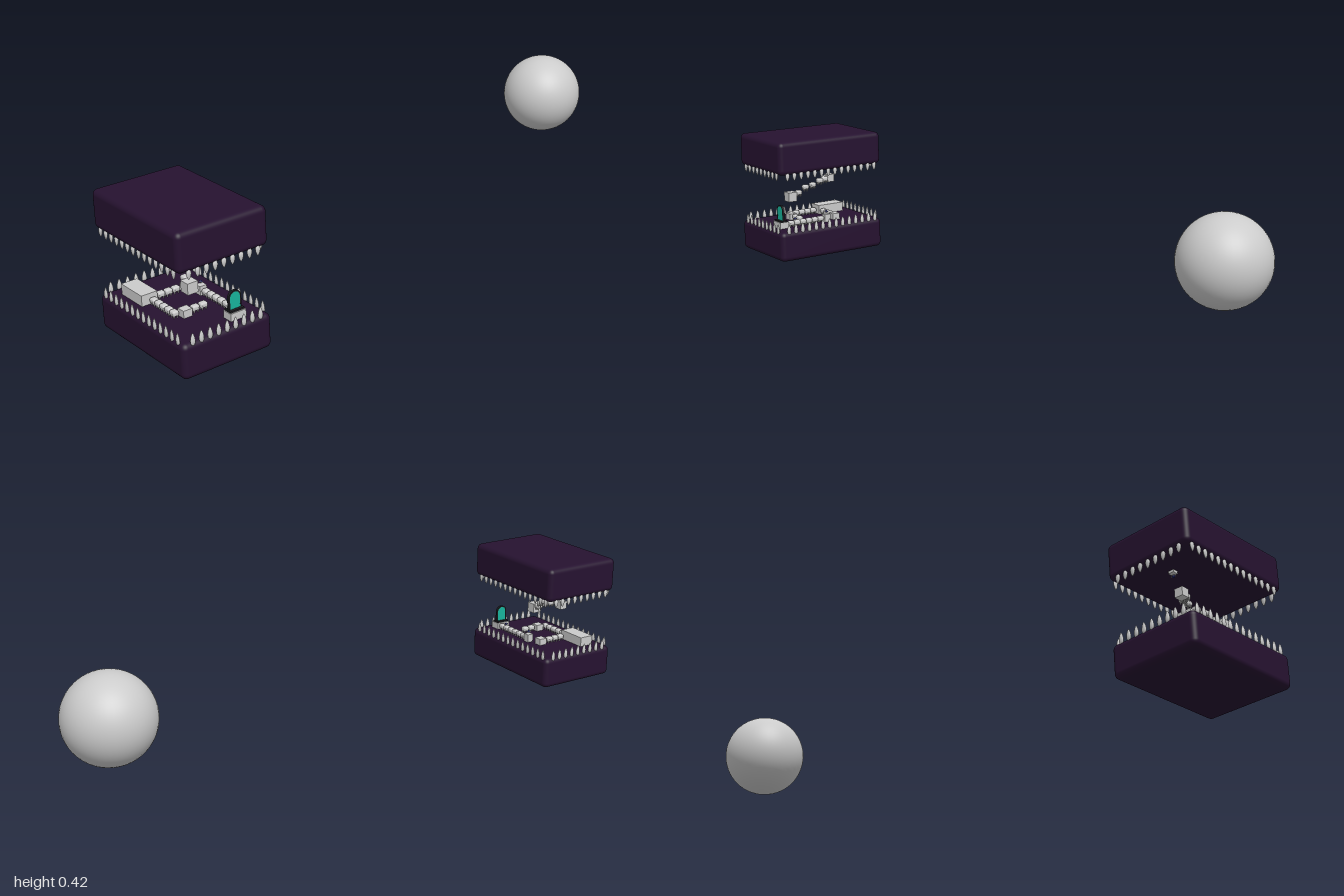
import * as THREE from 'three';
import { RoundedBoxGeometry } from 'three/addons/geometries/RoundedBoxGeometry.js';

const grey = new THREE.MeshStandardMaterial({ color: 0xcccccc });
const gum = new THREE.MeshStandardMaterial({ color: 0x261230 });
const black = new THREE.MeshStandardMaterial({ color: 0x1c1c20 });
const teal = new THREE.MeshStandardMaterial({ color: 0x18b49c });
const navy = new THREE.MeshStandardMaterial({ color: 0x20246a });

// Jaw footprint
const X0 = -0.108, X1 = 0.302, Z0 = 0.716, Z1 = 1.0;
const CX = (X0 + X1) / 2, CZ = (Z0 + Z1) / 2;

function add(parent, name, geometry, material, x, y, z) {
  const mesh = new THREE.Mesh(geometry, material);
  mesh.name = name;
  mesh.position.set(x, y, z);
  parent.add(mesh);
  return mesh;
}

function box(parent, name, w, h, d, x, y, z, material = grey) {
  return add(parent, name, new THREE.BoxGeometry(w, h, d), material, x, y, z);
}

// Pointed tooth, root at the origin and tip up
const fang = new THREE.LatheGeometry([
  [0, -0.009], [0.0045, -0.007], [0.0075, 0], [0.0076, 0.007],
  [0.0062, 0.015], [0.0035, 0.023], [0, 0.028],
].map(([r, y]) => new THREE.Vector2(r, y)), 12);

// Ring of teeth around the rim of a jaw; dir is 1 for up, -1 for down
function teethRow(parent, y, dir) {
  const row = new THREE.Group();
  row.name = dir > 0 ? 'lowerTeeth' : 'upperTeeth';
  parent.add(row);
  const place = (x, z, alongX) => {
    const tooth = add(row, 'tooth', fang, grey, x, y, z);
    tooth.scale.set(alongX ? 1 : 0.6, dir > 0 ? 1 : 0.8, alongX ? 0.6 : 1);
    if (dir < 0) tooth.rotation.x = Math.PI;
  };
  for (let i = 0; i < 14; i++)
    for (const z of [Z0 + 0.006, Z1 - 0.006]) place(-0.082 + i * 0.0271, z, true);
  for (let i = 0; i < 9; i++)
    for (const x of [X0 + 0.005, X1 - 0.005]) place(x, Z0 + 0.034 + i * 0.027, false);
}

// Molar stepping stone: rounded crown on four short roots
const crown = new RoundedBoxGeometry(0.023, 0.016, 0.02, 3, 0.006);
const root = new THREE.ConeGeometry(0.0055, 0.018, 8);
function molar(parent, x, y, z, angle = 0) {
  const g = new THREE.Group();
  g.name = 'molarStep';
  add(g, 'crown', crown, grey, 0, 0.005, 0);
  for (const sx of [-1, 1])
    for (const sz of [-1, 1])
      add(g, 'root', root, grey, sx * 0.006, -0.004, sz * 0.005).rotation.x = Math.PI;
  g.position.set(x, y, z);
  g.rotation.y = angle;
  parent.add(g);
}

// Small floating orb with a ring
function orb(parent, x, y, z) {
  const g = new THREE.Group();
  g.name = 'orb';
  add(g, 'orbCore', new THREE.SphereGeometry(0.0045, 16, 12), navy, 0, 0, 0);
  const ring = add(g, 'orbRing', new THREE.TorusGeometry(0.006, 0.0008, 6, 20), grey, 0, 0, 0);
  ring.rotation.x = Math.PI / 2.4;
  g.position.set(x, y, z);
  parent.add(g);
}

// Arched outline, feet on y = 0
function archShape(halfWidth, height, Type = THREE.Shape) {
  const s = new Type();
  s.moveTo(-halfWidth, 0);
  s.lineTo(halfWidth, 0);
  s.lineTo(halfWidth, height - halfWidth);
  s.absarc(0, height - halfWidth, halfWidth, 0, Math.PI, false);
  s.closePath();
  return s;
}

function portal(parent) {
  const g = new THREE.Group();
  g.name = 'portal';
  const frame = archShape(0.02, 0.054);
  frame.holes.push(archShape(0.016, 0.05, THREE.Path));
  const extrude = (shape, depth) =>
    new THREE.ExtrudeGeometry(shape, { depth, bevelEnabled: false, curveSegments: 16 })
      .translate(0, 0, -depth / 2).rotateY(Math.PI / 2);
  add(g, 'portalFrame', extrude(frame, 0.008), black, 0, 0.002, 0);
  add(g, 'portalSurface', extrude(archShape(0.017, 0.051), 0.0075), teal, 0, 0.002, 0);
  box(g, 'portalBase', 0.026, 0.006, 0.046, 0, 0, 0, black);
  g.position.set(0.255, 0.128, 0.803);
  parent.add(g);
}

export function createModel() {
  const model = new THREE.Group();

  // Distant moon
  add(model, 'moon', new THREE.SphereGeometry(0.135, 48, 32), grey, -0.168, 0.26, -0.865);

  // Jaws with teeth
  const jaw = h => new RoundedBoxGeometry(X1 - X0, h, Z1 - Z0, 5, 0.017);
  add(model, 'lowerJaw', jaw(0.104), gum, CX, 0.052, CZ);
  add(model, 'upperJaw', jaw(0.114), gum, CX, 0.36, CZ);
  teethRow(model, 0.103, 1);
  teethRow(model, 0.304, -1);

  // Course on the lower jaw
  const course = new THREE.Group();
  course.name = 'course';
  model.add(course);
  box(course, 'startPlatform', 0.102, 0.034, 0.05, -0.011, 0.119, 0.931);
  box(course, 'endPlatform', 0.034, 0.024, 0.05, 0.255, 0.114, 0.803);
  for (let i = 0; i < 5; i++) molar(course, 0.054 + i * 0.024, 0.113, 0.925);
  for (let i = 0; i < 3; i++) molar(course, 0.03, 0.113, 0.89 - i * 0.024, Math.PI / 2);
  box(course, 'cornerBlock', 0.028, 0.024, 0.028, 0.16, 0.114, 0.897);
  box(course, 'cornerBlock', 0.028, 0.024, 0.028, 0.035, 0.114, 0.808);
  box(course, 'raisedBlock', 0.022, 0.029, 0.022, 0.08, 0.117, 0.79);
  for (let i = 0; i < 6; i++) molar(course, 0.104 + i * 0.024, 0.113, 0.79);
  for (let i = 0; i < 2; i++) molar(course, 0.16, 0.113, 0.866 - i * 0.026, Math.PI / 2);
  portal(course);

  // Floating stair of blocks and molars
  const stair = new THREE.Group();
  stair.name = 'floatingStair';
  model.add(stair);
  box(stair, 'upperBlock', 0.027, 0.027, 0.027, 0.0135, 0.2425, 0.873);
  box(stair, 'lowerBlock', 0.033, 0.033, 0.033, 0.168, 0.19, 0.884);
  for (const [x, y, z] of [
    [0.038, 0.24, 0.868], [0.047, 0.24, 0.85], [0.069, 0.237, 0.848],
    [0.092, 0.223, 0.858], [0.116, 0.216, 0.868], [0.139, 0.197, 0.878],
  ]) molar(stair, x, y, z);

  // Block hanging from the upper jaw, and orbs
  box(model, 'hangingBlock', 0.018, 0.008, 0.018, -0.013, 0.299, 0.87);
  orb(model, -0.012, 0.288, 0.87);
  orb(model, 0.079, 0.14, 0.79);
  orb(model, 0.206, 0.131, 0.79);

  return model;
}
